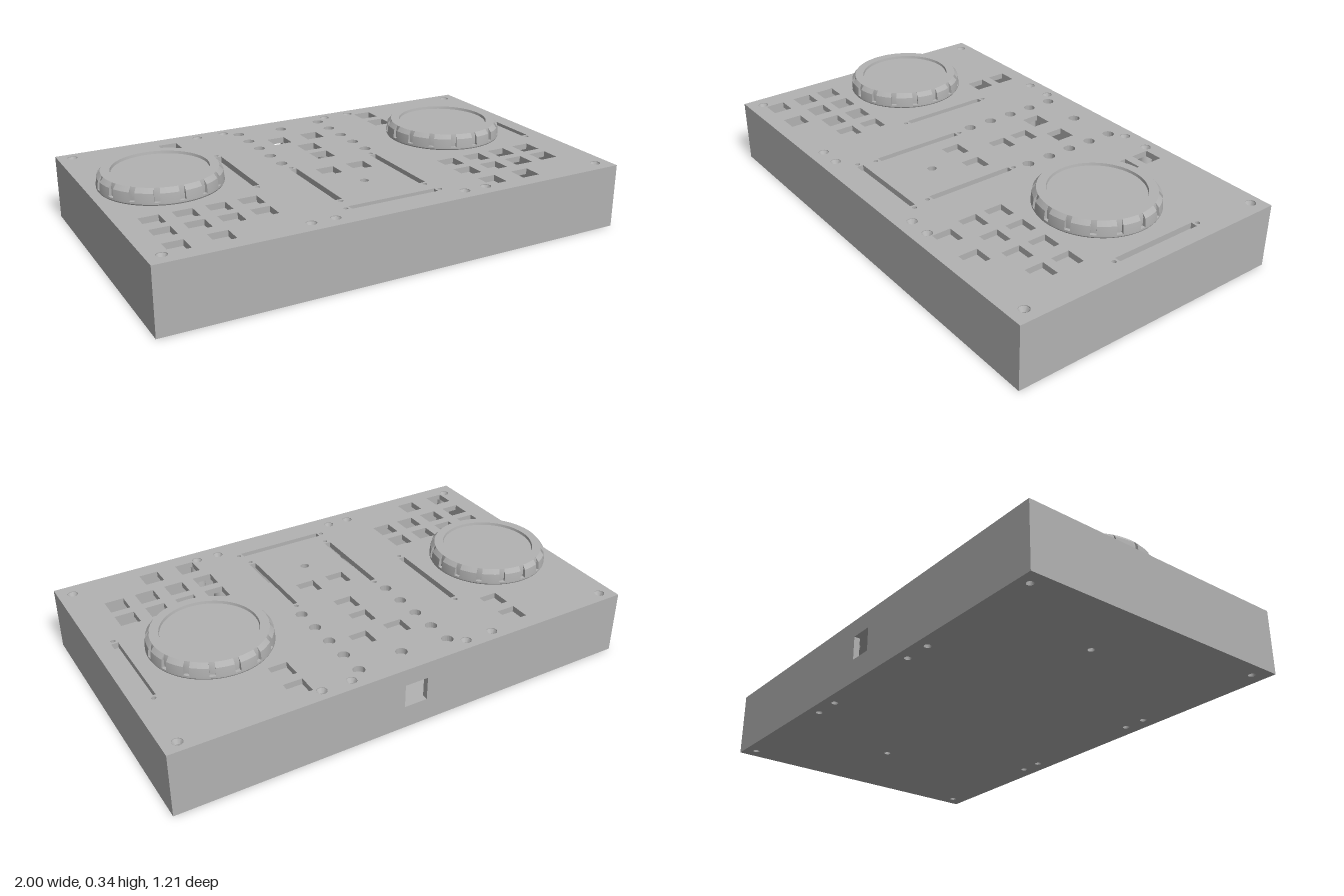
import * as THREE from 'three';
import { toCreasedNormals } from 'three/addons/utils/BufferGeometryUtils.js';

const W = 2, H = 0.27, D = 1.21, T = 0.025;
const WHEELS = [[-0.72, -0.08], [0.6, -0.08]];

const rectHole = (x, y, w, h) => new THREE.Path([
  new THREE.Vector2(x - w / 2, y - h / 2), new THREE.Vector2(x - w / 2, y + h / 2),
  new THREE.Vector2(x + w / 2, y + h / 2), new THREE.Vector2(x + w / 2, y - h / 2)]);
const roundHole = (x, y, r) => new THREE.Path().absarc(x, y, r, 0, Math.PI * 2, true);

// Panel with mitred borders: outer face at local z = 0, inner face inset by T
function panelGeometry(w, h, holes = []) {
  const shape = new THREE.Shape([
    new THREE.Vector2(-w / 2, -h / 2), new THREE.Vector2(w / 2, -h / 2),
    new THREE.Vector2(w / 2, h / 2), new THREE.Vector2(-w / 2, h / 2)]);
  shape.holes.push(...holes);
  const g = new THREE.ExtrudeGeometry(shape, { depth: T, bevelEnabled: false, curveSegments: 10 });
  const p = g.attributes.position;
  for (let i = 0; i < p.count; i++) {
    if (p.getZ(i) > T / 2) continue;
    const x = p.getX(i), y = p.getY(i);
    if (Math.abs(x) > w / 2 - 1e-4) p.setX(i, x - Math.sign(x) * T);
    if (Math.abs(y) > h / 2 - 1e-4) p.setY(i, y - Math.sign(y) * T);
  }
  g.translate(0, 0, -T);
  g.computeVertexNormals();
  return g;
}

// Jog wheel: stacked rings [radius, height, notched], with 16 grip notches
function wheelGeometry() {
  const rows = [[0, 0.279], [0.245, 0.279], [0.248, 0.284], [0.248, 0.292], [0.248, 0.292, true],
    [0.244, 0.326, true], [0.229, 0.344, true], [0.192, 0.344], [0.19, 0.333], [0, 0.333]];
  const ring = [];
  for (let k = 0; k < 16; k++) {
    const a = k * Math.PI / 8, half = 0.047;
    ring.push([a - half, false], [a - half, true], [a, true], [a + half, true], [a + half, false]);
    for (let j = 1; j < 4; j++) ring.push([a + half + (Math.PI / 8 - 2 * half) * j / 4, false]);
  }
  const pos = [], index = [], n = ring.length;
  rows.forEach(([r, y, notched], i) => ring.forEach(([a, inNotch], j) => {
    const q = notched && inNotch ? Math.min(r, 0.234) : r;
    pos.push(q * Math.cos(a), y, q * Math.sin(a));
    if (i === rows.length - 1) return;
    const b = i * n + j, c = i * n + (j + 1) % n;
    index.push(b, b + n, c + n, b, c + n, c);
  }));
  const g = new THREE.BufferGeometry();
  g.setAttribute('position', new THREE.Float32BufferAttribute(pos, 3));
  g.setIndex(index);
  return toCreasedNormals(g, 0.4);
}

// Openings of the control surface, given as x and z
function topOpenings(screws) {
  const holes = [];
  const square = (x, z) => holes.push(rectHole(x, -z, 0.08, 0.08));
  const round = (x, z, r) => holes.push(roundHole(x, -z, r));

  // Button openings
  for (const x of [-0.53, 0.447]) for (const z of [-0.495, -0.375]) square(x, z);
  for (const [x, z] of [[-0.08, -0.343], [0.08, -0.343], [0, -0.211], [0, -0.093],
    [-0.07, 0.096], [0.07, 0.096]]) square(x, z);
  for (const x0 of [-0.872, 0.422])
    for (let i = 0; i < 4; i++) for (const z of [0.246, 0.364]) square(x0 + i * 0.13, z);
  for (const x of [-0.872, -0.706, 0.447, 0.61]) square(x, 0.497);

  // Knob openings
  for (const x of [-0.2, 0.2]) for (let i = 0; i < 5; i++) round(x, -0.513 + i * 0.1095, 0.024);
  round(0, -0.495, 0.024);
  round(0, 0.26, 0.018);

  // Slider slots with a fixing hole at each end
  for (const [x, z] of [[-0.4, -0.083], [0.917, -0.083], [-0.188, 0.2], [0.187, 0.2]]) {
    holes.push(rectHole(x, -z, 0.028, 0.38));
    for (const s of [-1, 1]) round(x, z + s * 0.208, 0.009);
  }
  holes.push(rectHole(0, -0.481, 0.38, 0.028));
  for (const s of [-1, 1]) round(s * 0.208, 0.481, 0.009);

  for (const [x, z] of screws) round(x, z, 0.021);
  return holes;
}

export function createModel() {
  const model = new THREE.Group();
  const grey = new THREE.MeshStandardMaterial({ color: 0xb2b2b2 });
  grey.name = 'plain grey';
  const add = (name, geometry, x = 0, y = 0, z = 0) => {
    const mesh = new THREE.Mesh(geometry, grey);
    mesh.name = name;
    mesh.position.set(x, y, z);
    model.add(mesh);
    return mesh;
  };

  const screws = [];
  for (const s of [-1, 1]) {
    for (const x of [0.94, 0.382, 0.258]) screws.push([s * x, -0.556]);
    for (const x of [0.94, 0.382, 0.283]) screws.push([s * x, 0.541]);
  }

  // Hollow case
  const halfPi = Math.PI / 2;
  add('topPanel', panelGeometry(W, D, topOpenings(screws)), 0, H, 0).rotation.x = -halfPi;
  const bottomHoles = [...screws, ...WHEELS].map(([x, z]) => roundHole(x, z, 0.014));
  add('bottomPanel', panelGeometry(W, D, bottomHoles)).rotation.x = halfPi;
  add('frontPanel', panelGeometry(W, H), 0, H / 2, D / 2);
  const port = rectHole(0, 0.013, 0.1, 0.1);
  add('backPanel', panelGeometry(W, H, [port]), 0, H / 2, -D / 2).rotation.y = Math.PI;
  for (const s of [-1, 1])
    add(s > 0 ? 'leftPanel' : 'rightPanel', panelGeometry(D, H), s * W / 2, H / 2, 0).rotation.y = s * halfPi;

  // Countersunk screw posts, open from top to bottom
  const postProfile = [[0.03, T], [0.03, H - T], [0.021, H - 0.003], [0.011, H - 0.02], [0.011, T], [0.014, 0.002]]
    .map(([r, y]) => new THREE.Vector2(r, y));
  const post = toCreasedNormals(new THREE.LatheGeometry(postProfile, 20), 0.5);
  for (const [x, z] of screws) add('screwPost', post, x, 0, z);

  // Jog wheels on their axles
  const wheel = wheelGeometry();
  const axle = new THREE.CylinderGeometry(0.044, 0.044, 0.035, 32);
  for (const [x, z] of WHEELS) {
    add('jogWheel', wheel, x, 0, z);
    add('wheelAxle', axle, x, 0.2635, z);
  }
  return model;
}
